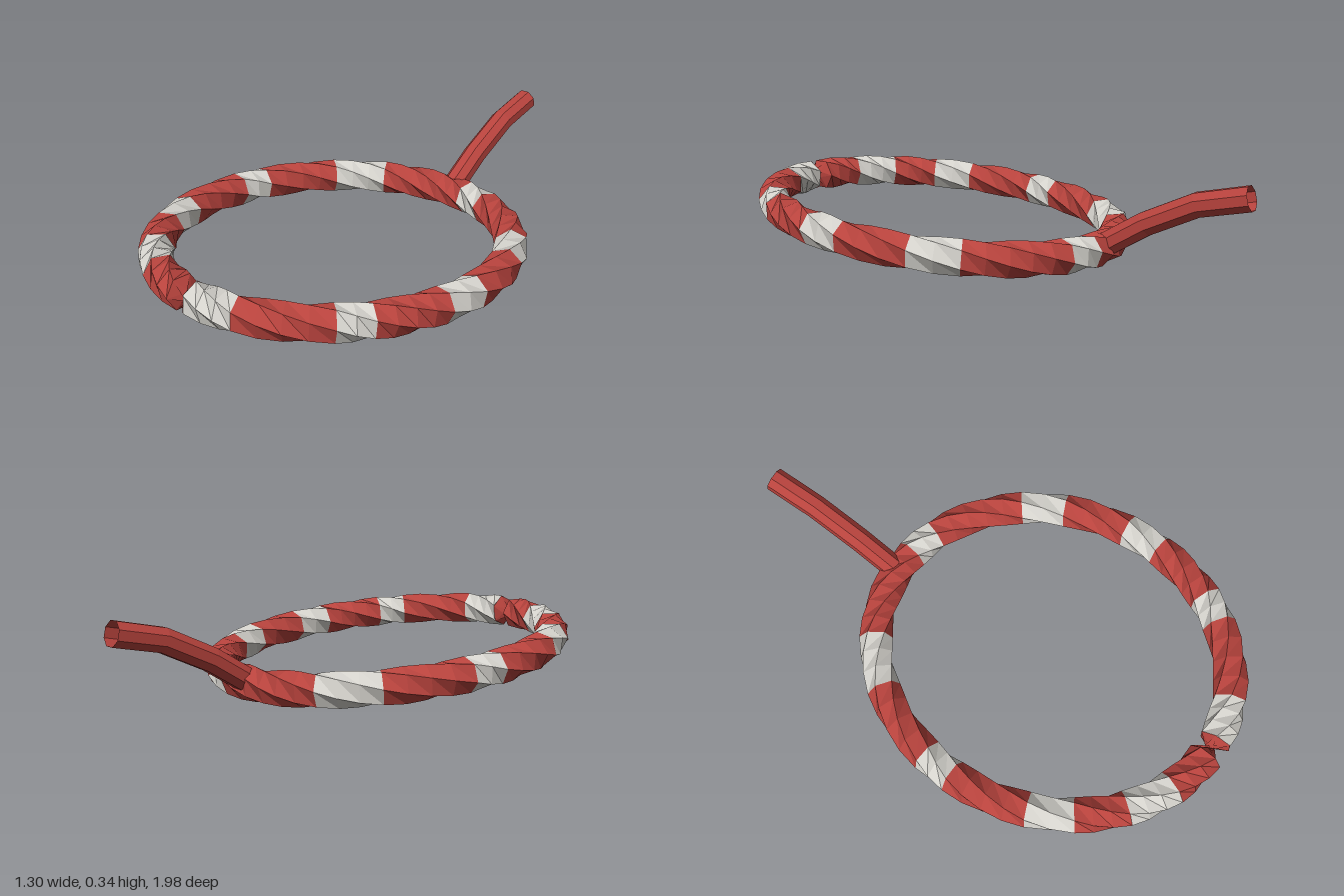
import * as THREE from 'three';

const red = new THREE.MeshStandardMaterial({ name: 'red', color: 0xb8433d, flatShading: true, side: THREE.DoubleSide });
const white = new THREE.MeshStandardMaterial({ name: 'offWhite', color: 0xd4d2cc, flatShading: true, side: THREE.DoubleSide });

// Open faceted tube through stations { p, t, n, twist }: centre, tangent, normal, rotation
function facetedTube(stations, sides, radius) {
  const pos = [], idx = [];
  for (const { p, t, n, twist } of stations) {
    const b = new THREE.Vector3().crossVectors(t, n).normalize();
    for (let j = 0; j < sides; j++) {
      const a = (j / sides) * Math.PI * 2 + twist;
      const v = p.clone().addScaledVector(n, radius * Math.cos(a)).addScaledVector(b, radius * Math.sin(a));
      pos.push(v.x, v.y, v.z);
    }
  }
  for (let i = 0; i < stations.length - 1; i++) {
    for (let j = 0; j < sides; j++) {
      const k = (j + 1) % sides, s = i * sides, e = s + sides;
      idx.push(s + j, s + k, e + k, s + j, e + k, e + j);
    }
  }
  const g = new THREE.BufferGeometry();
  g.setAttribute('position', new THREE.Float32BufferAttribute(pos, 3));
  g.setIndex(idx);
  const flat = g.toNonIndexed();
  flat.computeVertexNormals();
  return flat;
}

// Tilted oval centre line; angle 0 is the front, growing towards +x
const RX = 0.59, RZ = 0.685, CZ = 0.243, TILT = 0.065;
const ringUp = new THREE.Vector3(0, 1, -TILT / RZ).normalize();
function ringStation(a, twist) {
  return {
    p: new THREE.Vector3(RX * Math.sin(a), 0.134 + TILT * Math.cos(a), CZ + RZ * Math.cos(a)),
    t: new THREE.Vector3(RX * Math.cos(a), -TILT * Math.sin(a), -RZ * Math.sin(a)).normalize(),
    n: ringUp,
    twist,
  };
}

export function createModel() {
  const model = new THREE.Group();
  model.name = 'stripedRing';
  const add = (name, geometry, material) => {
    const mesh = new THREE.Mesh(geometry, material);
    mesh.name = name;
    model.add(mesh);
  };

  // Alternating bands, white first; each number is a band boundary angle
  const edges = [0, 0.28, 0.77, 0.95, 1.34, 1.56, 1.94, 2.2, 2.79, 2.99,
    3.63, 3.97, 4.44, 4.62, 5.06, 5.31, 5.6, 5.89, 6.17];
  let twist = 0;
  for (let i = 0; i < edges.length - 1; i++) {
    const steps = Math.max(2, Math.round((edges[i + 1] - edges[i]) / 0.11));
    const stations = [];
    for (let s = 0; s <= steps; s++) {
      if (s > 0) twist += 0.36;
      stations.push(ringStation(edges[i] + (edges[i + 1] - edges[i]) * s / steps, twist));
    }
    add(i % 2 ? 'redBand' : 'whiteBand', facetedTube(stations, 6, 0.064), i % 2 ? red : white);
  }

  // Pinched joint: the last segment is wrung by more than a third of a turn
  add('twistedJoint', facetedTube([
    ringStation(6.17, twist), ringStation(Math.PI * 2, twist + 2.45),
  ], 6, 0.064), red);

  // Bent open handle rising at the back
  const path = [[0.08, -0.455], [0.175, -0.61], [0.263, -0.8], [0.303, -0.985]]
    .map(([y, z]) => new THREE.Vector3(0, y, z));
  const handle = path.map((p, i) => {
    const t = path[Math.min(i + 1, 3)].clone().sub(path[Math.max(i - 1, 0)]).normalize();
    return { p, t, n: new THREE.Vector3(0, -t.z, t.y), twist: Math.PI / 8 };
  });
  add('handle', facetedTube(handle, 8, 0.046), red);

  return model;
}
